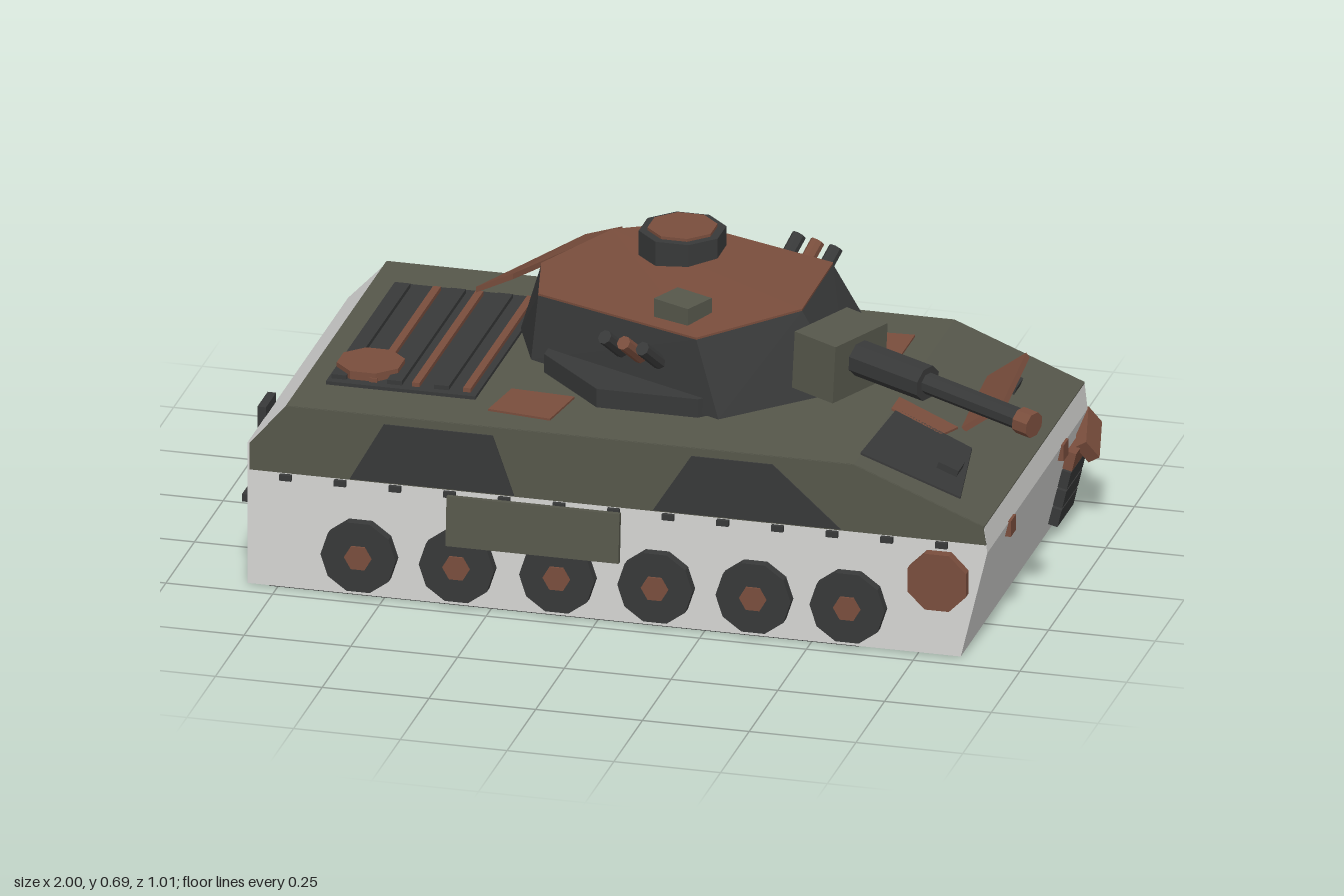
import * as THREE from 'three';

const mat = (name, color) => {
  const m = new THREE.MeshStandardMaterial({ color });
  m.name = name;
  return m;
};

export function createModel() {
  const model = new THREE.Group();
  const white = mat('paleHull', 0xd6d6d4), olive = mat('olive', 0x56574b);
  const dark = mat('charcoal', 0x383939), rust = mat('rust', 0x7a4e3d);

  // Flat-faceted mesh
  const add = (name, geo, m, pos = [0, 0, 0], rot = [0, 0, 0]) => {
    const g = geo.index ? geo.toNonIndexed() : geo;
    g.computeVertexNormals();
    const mesh = new THREE.Mesh(g, m);
    mesh.name = name;
    mesh.position.set(...pos);
    mesh.rotation.set(...rot);
    model.add(mesh);
    return mesh;
  };
  const box = (name, size, pos, m, rot) => add(name, new THREE.BoxGeometry(...size), m, pos, rot);
  const disc = (name, r, h, pos, m, rot, n = 8) => {
    const g = new THREE.CylinderGeometry(r, r, h, n);
    g.rotateY(Math.PI / n);
    return add(name, g, m, pos, rot);
  };
  // Cylinder between two points
  const rod = (name, a, b, r, m, n = 8) => {
    const p = new THREE.Vector3(...a), d = new THREE.Vector3(...b).sub(p);
    const mesh = add(name, new THREE.CylinderGeometry(r, r, d.length(), n), m);
    mesh.position.copy(p).addScaledVector(d, 0.5);
    mesh.quaternion.setFromUnitVectors(new THREE.Vector3(0, 1, 0), d.normalize());
  };
  // Solid between two rings given clockwise as seen from above
  const loft = (name, lo, hi, m) => {
    const v = [], n = lo.length;
    for (let i = 0; i < n; i++) {
      const j = (i + 1) % n;
      v.push(lo[j], lo[i], hi[i], lo[j], hi[i], hi[j]);
      if (i > 0 && i < n - 1) v.push(lo[0], lo[i], lo[j], hi[0], hi[j], hi[i]);
    }
    const g = new THREE.BufferGeometry();
    g.setAttribute('position', new THREE.Float32BufferAttribute(v.flat(), 3));
    return add(name, g, m);
  };
  const slab = (name, pts, t, m) => loft(name, pts, pts.map(([x, y, z]) => [x, y + t, z]), m);
  // Outline in x and y, extruded along z
  const profile = (name, pts, z0, z1, m) => {
    const s = new THREE.Shape(pts.map(p => new THREE.Vector2(...p)));
    const g = new THREE.ExtrudeGeometry(s, { depth: z1 - z0, bevelEnabled: false });
    return add(name, g, m, [0, 0, z0]);
  };

  // Hull
  profile('hull', [[-0.82, 0], [0.85, 0], [0.912, 0.26], [0.905, 0.322], [0.6, 0.44],
    [-0.73, 0.44], [-0.82, 0.345]], -0.42, 0.457, white);
  profile('deck', [[-0.73, 0.438], [0.6, 0.438], [0.905, 0.32], [0.905, 0.325],
    [0.6, 0.445], [-0.73, 0.445]], -0.421, 0.458, olive);
  profile('upperSidePanel', [[-0.815, 0.28], [0.91, 0.28], [0.903, 0.325], [0.6, 0.444],
    [-0.73, 0.444], [-0.815, 0.345]], 0.456, 0.46, olive);

  // Dark camouflage on the sides
  const camo = (x0, x1, x2, x3, z) => profile('sideCamouflage',
    [[x0, 0.283], [x1, 0.283], [x2, 0.425], [x3, 0.425]], z, z + 0.004, dark);
  camo(-0.58, -0.195, -0.245, -0.5, 0.459);
  camo(0.13, 0.57, 0.41, 0.22, 0.459);
  camo(0, 0.5, 0.4, 0.1, -0.424);
  camo(-0.65, -0.32, -0.38, -0.58, -0.424);

  // Painted patches following the deck slope
  const deckY = x => (x <= 0.6 ? 0.445 : 0.445 - (x - 0.6) * 0.393);
  const patch = (pts, m) => slab('deckPatch', pts.map(([x, z]) => [x, deckY(x), z]), 0.005, m);
  patch([[-0.26, 0.24], [-0.11, 0.25], [-0.13, 0.39], [-0.28, 0.37]], rust);
  patch([[0.39, -0.29], [0.54, -0.3], [0.54, -0.15], [0.4, -0.14]], rust);
  patch([[0.6, 0.06], [0.74, 0.07], [0.72, 0.14], [0.6, 0.13]], rust);
  patch([[0.61, 0.12], [0.79, 0.135], [0.83, 0.385], [0.6, 0.4]], dark);

  // Engine grille and hatch
  box('grillePlate', [0.35, 0.01, 0.6], [-0.5, 0.448, 0.015], dark);
  [-0.65, -0.57, -0.52, -0.47, -0.41, -0.35].forEach((x, i) => {
    const r = i % 2;
    box('grilleSlat', [r ? 0.018 : 0.035, 0.012, 0.56], [x, 0.457, 0.015], r ? rust : dark);
  });
  disc('engineHatch', 0.078, 0.02, [-0.595, 0.464, 0.22], rust);

  // Running gear
  for (const x of [-0.555, -0.325, -0.09, 0.14, 0.37, 0.59]) {
    disc('roadWheel', 0.088, 0.025, [x, 0.1, 0.469], dark, [Math.PI / 2, 0, 0], 10);
    disc('wheelHub', 0.032, 0.006, [x, 0.1, 0.483], rust, [Math.PI / 2, 0, 0], 6);
  }
  disc('driveWheel', 0.074, 0.025, [0.8, 0.185, 0.469], rust, [Math.PI / 2, 0, 0]);
  box('trackUnderside', [1.38, 0.005, 0.075], [-0.08, 0, 0.417], dark);
  for (let i = 0; i < 13; i++)
    box('trackStub', [0.028, 0.014, 0.012], [-0.73 + i * 0.128, 0.27, 0.461], dark);
  for (let i = 0; i < 8; i++)
    box('looseTrackStub', [0.05, 0.015, 0.012], [-0.62 + i * 0.15, 0.012, -0.423], i % 2 ? rust : dark);

  // Side skirts
  box('skirtPlate', [0.405, 0.118, 0.014], [-0.143, 0.217, 0.488], olive, [-0.08, 0, 0]);
  box('fallenSkirtPlate', [0.51, 0.17, 0.014], [-0.225, 0.137, -0.463], olive, [-0.44, 0.04, 0]);

  // Nose fittings
  for (const z of [0.25, -0.21]) box('towLug', [0.02, 0.038, 0.045], [0.908, 0.245, z], rust);
  for (const z of [0.275, -0.235]) box('headlamp', [0.05, 0.03, 0.056], [0.775, 0.382, z], dark, [0, 0, -0.37]);
  for (let i = 0; i < 3; i++)
    box('hangingTrackLink', [0.028, 0.043, 0.14], [0.87 + i * 0.011, 0.047 + i * 0.047, -0.35], dark, [0, 0, -0.23]);
  box('hangingTrackLink', [0.03, 0.045, 0.13], [0.903, 0.188, -0.345], rust, [0, 0, -0.23]);
  box('brokenTrackLink', [0.03, 0.055, 0.12], [0.925, 0.215, -0.38], rust, [0.35, 0.2, 0.5]);
  box('openDriverHatch', [0.115, 0.014, 0.3], [0.785, 0.42, -0.09], rust, [0, 0.08, 0.62]);

  // Rear fittings and links lying on the ground
  box('rearLamp', [0.02, 0.068, 0.09], [-0.828, 0.335, 0.26], dark);
  box('rearBox', [0.02, 0.07, 0.09], [-0.828, 0.28, -0.21], rust);
  box('rearLug', [0.02, 0.05, 0.06], [-0.828, 0.11, -0.33], dark);
  box('rearBar', [0.02, 0.018, 0.1], [-0.828, 0.2, 0.39], dark);
  [[-0.95, -0.282, rust], [-0.892, -0.335, dark], [-0.843, -0.35, dark]].forEach(([x, z, m], i) =>
    box('fallenTrackLink', [0.045, 0.018, 0.13], [x, 0.014, z], m, [0, 0.45 - i * 0.12, 0]));
  box('fallenTrackLink', [0.1, 0.018, 0.045], [-0.58, 0.014, -0.457], rust, [0, 0.25, 0]);

  // Turret ring and body
  disc('turretRing', 0.31, 0.05, [0.07, 0.465, 0], dark);
  const foot = [[-0.16, -0.46], [-0.03, -0.475], [0.48, -0.22], [0.48, 0.06], [0.24, 0.3],
    [-0.26, 0.07], [-0.33, -0.1]].map(([x, z]) => [x, 0.452, z]);
  const roof = [[-0.18, 0.61, -0.34], [-0.025, 0.62, -0.4], [0.375, 0.645, -0.2], [0.375, 0.64, 0.07],
    [0.175, 0.62, 0.25], [-0.25, 0.6, 0.045], [-0.29, 0.6, -0.13]];
  loft('turretBody', foot, roof, dark);
  slab('turretRoof', roof, 0.005, rust);
  slab('bentTurretPlate', [[-0.275, 0.53, -0.46], [-0.175, 0.58, -0.41],
    [-0.345, 0.575, -0.09], [-0.44, 0.52, -0.12]], 0.014, rust);

  // Cupola and sight
  disc('cupola', 0.1, 0.06, [0.013, 0.65, -0.235], dark);
  disc('cupolaHatch', 0.08, 0.008, [0.013, 0.683, -0.235], rust);
  box('gunnerSight', [0.1, 0.055, 0.085], [0.11, 0.637, 0.125], olive, [0, -0.43, 0]);

  // Mantlet and gun
  box('mantlet', [0.12, 0.14, 0.185], [0.475, 0.56, 0.115], olive, [0, -0.43, -0.06]);
  rod('gunSleeve', [0.49, 0.573, 0.125], [0.71, 0.56, 0.223], 0.042, dark);
  rod('gunBarrel', [0.69, 0.562, 0.214], [0.965, 0.541, 0.335], 0.025, dark);
  rod('muzzle', [0.955, 0.541, 0.331], [0.992, 0.538, 0.347], 0.031, rust);

  // Smoke launchers on both turret cheeks
  for (let i = 0; i < 3; i++) {
    const m = i === 1 ? rust : dark;
    const x = -0.02 + i * 0.05, z = 0.17 + i * 0.022;
    rod('smokeLauncher', [x, 0.54, z], [x - 0.025, 0.595, z + 0.06], 0.017, m);
    const u = 0.23 + i * 0.05, w = -0.28 + i * 0.026;
    rod('smokeLauncher', [u, 0.585, w], [u + 0.028, 0.648, w - 0.06], 0.017, m);
  }
  return model;
}
